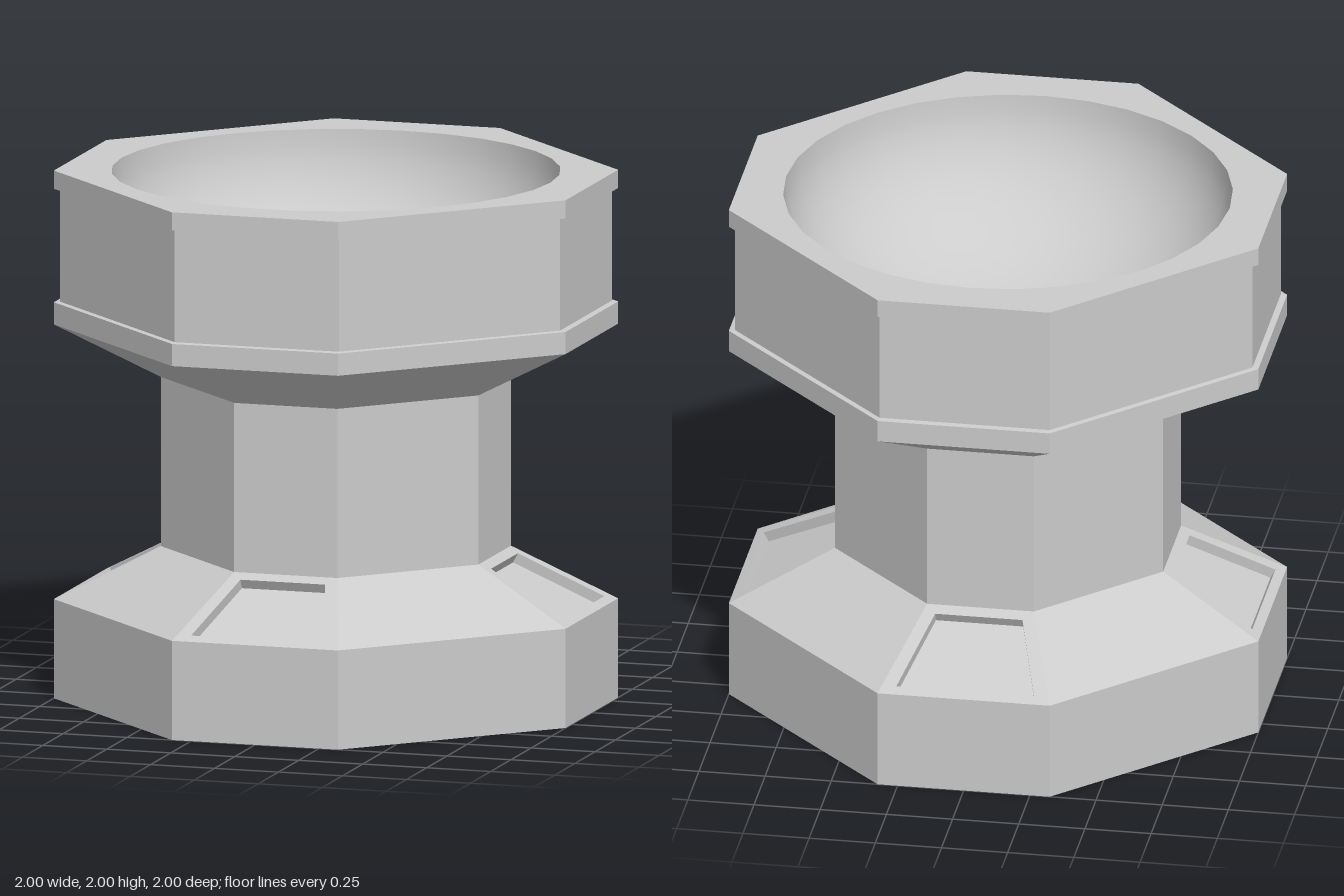
import * as THREE from 'three';

const CORNER = 0.325; // half length of an axis-facing side, relative to the half width
const BOWL_R = 0.838, BOWL_DEPTH = 0.6;
const PLINTH_TOP = 0.376, NECK_BOTTOM = 0.576, NECK_R = 0.62;

const material = (flat) =>
  new THREE.MeshStandardMaterial({ color: 0xcccccc, flatShading: flat, side: THREE.DoubleSide });

// Octagon outline of half width r; even sides face the axes
function octagon(r, c = r * CORNER) {
  return [[r, -c], [r, c], [c, r], [-c, r], [-r, c], [-r, -c], [-c, -r], [c, -r]]
    .map(([x, y]) => new THREE.Vector2(x, y));
}

// Octagonal walls through [half width, height, corner] levels
function walls(name, levels, sides = [0, 1, 2, 3, 4, 5, 6, 7]) {
  const pos = [];
  for (let l = 0; l < levels.length - 1; l++) {
    const [r0, y0, c0] = levels[l], [r1, y1, c1] = levels[l + 1];
    const lo = octagon(r0, c0), hi = octagon(r1, c1);
    for (const i of sides) {
      const j = (i + 1) % 8;
      const a0 = [lo[i].x, y0, lo[i].y], b0 = [lo[j].x, y0, lo[j].y];
      const a1 = [hi[i].x, y1, hi[i].y], b1 = [hi[j].x, y1, hi[j].y];
      pos.push(...b0, ...a0, ...a1, ...b0, ...a1, ...b1);
    }
  }
  const geo = new THREE.BufferGeometry();
  geo.setAttribute('position', new THREE.Float32BufferAttribute(pos, 3));
  geo.computeVertexNormals();
  return mesh(name, geo);
}

function mesh(name, geo, flat = true) {
  const m = new THREE.Mesh(geo, material(flat));
  m.name = name;
  return m;
}

// Sloped base face with a trapezoid pocket, built flat and tilted into place
function pocketPanel() {
  const run = 1 - NECK_R, rise = NECK_BOTTOM - PLINTH_TOP, depth = 0.04;
  const slope = Math.hypot(run, rise);
  const trapezoid = (w0, y0, w1, y1) =>
    [[-w0, y0], [w0, y0], [w1, y1], [-w1, y1]].map(([x, y]) => new THREE.Vector2(x, y));
  const opening = trapezoid(0.26, 0.038, 0.165, 0.386);
  const face = new THREE.Shape(trapezoid(CORNER, 0, NECK_R * CORNER, slope));
  face.holes.push(new THREE.Path(opening));

  const frame = mesh('pocketFrame', new THREE.ExtrudeGeometry(face, { depth, bevelEnabled: false }));
  const floor = mesh('pocketFloor', new THREE.ShapeGeometry(new THREE.Shape(opening)));
  frame.position.z = floor.position.z = -depth;

  const tilted = new THREE.Group();
  tilted.add(frame, floor);
  tilted.position.set(0, PLINTH_TOP, 1);
  tilted.rotation.x = -Math.atan2(run, rise);
  const panel = new THREE.Group();
  panel.name = 'pocketPanel';
  panel.add(tilted);
  return panel;
}

export function createModel() {
  const model = new THREE.Group();
  model.name = 'pedestalBowl';

  // Base: underside, plinth and sloped shoulder (the axis-facing slopes carry pockets)
  const underside = mesh('underside', new THREE.ShapeGeometry(new THREE.Shape(octagon(1))));
  underside.rotation.x = Math.PI / 2;
  model.add(underside);
  model.add(walls('plinth', [[1, 0], [1, PLINTH_TOP]]));
  model.add(walls('baseShoulder', [[1, PLINTH_TOP], [NECK_R, NECK_BOTTOM]], [1, 3, 5, 7]));
  for (let i = 0; i < 4; i++) {
    const panel = pocketPanel();
    panel.rotation.y = (i * Math.PI) / 2;
    model.add(panel);
  }

  // Neck, flare and the banded upper block
  const drumR = 0.977, drumCorner = 0.321;
  model.add(walls('neck', [[NECK_R, NECK_BOTTOM], [NECK_R, 1.217]]));
  model.add(walls('flare', [[NECK_R, 1.217], [1, 1.417]]));
  model.add(walls('lowerBand', [[1, 1.417], [1, 1.501], [drumR, 1.504, drumCorner]]));
  model.add(walls('drum', [[drumR, 1.504, drumCorner], [drumR, 1.928, drumCorner]]));
  model.add(walls('upperBand', [[drumR, 1.928, drumCorner], [1, 1.931], [1, 2]]));

  // Flat rim with a round opening
  const rimShape = new THREE.Shape(octagon(1));
  rimShape.holes.push(new THREE.Path().absarc(0, 0, BOWL_R, 0, Math.PI * 2, true));
  const rim = mesh('rim', new THREE.ShapeGeometry(rimShape, 16));
  rim.rotation.x = -Math.PI / 2;
  rim.position.y = 2;
  model.add(rim);

  // Smooth, slightly flattened bowl
  const profile = [];
  for (let i = 0; i <= 16; i++) {
    const a = (i / 16) * Math.PI / 2;
    profile.push(new THREE.Vector2(i === 16 ? 0 : BOWL_R * Math.cos(a), 2 - BOWL_DEPTH * Math.sin(a)));
  }
  model.add(mesh('bowl', new THREE.LatheGeometry(profile, 32), false));

  return model;
}
